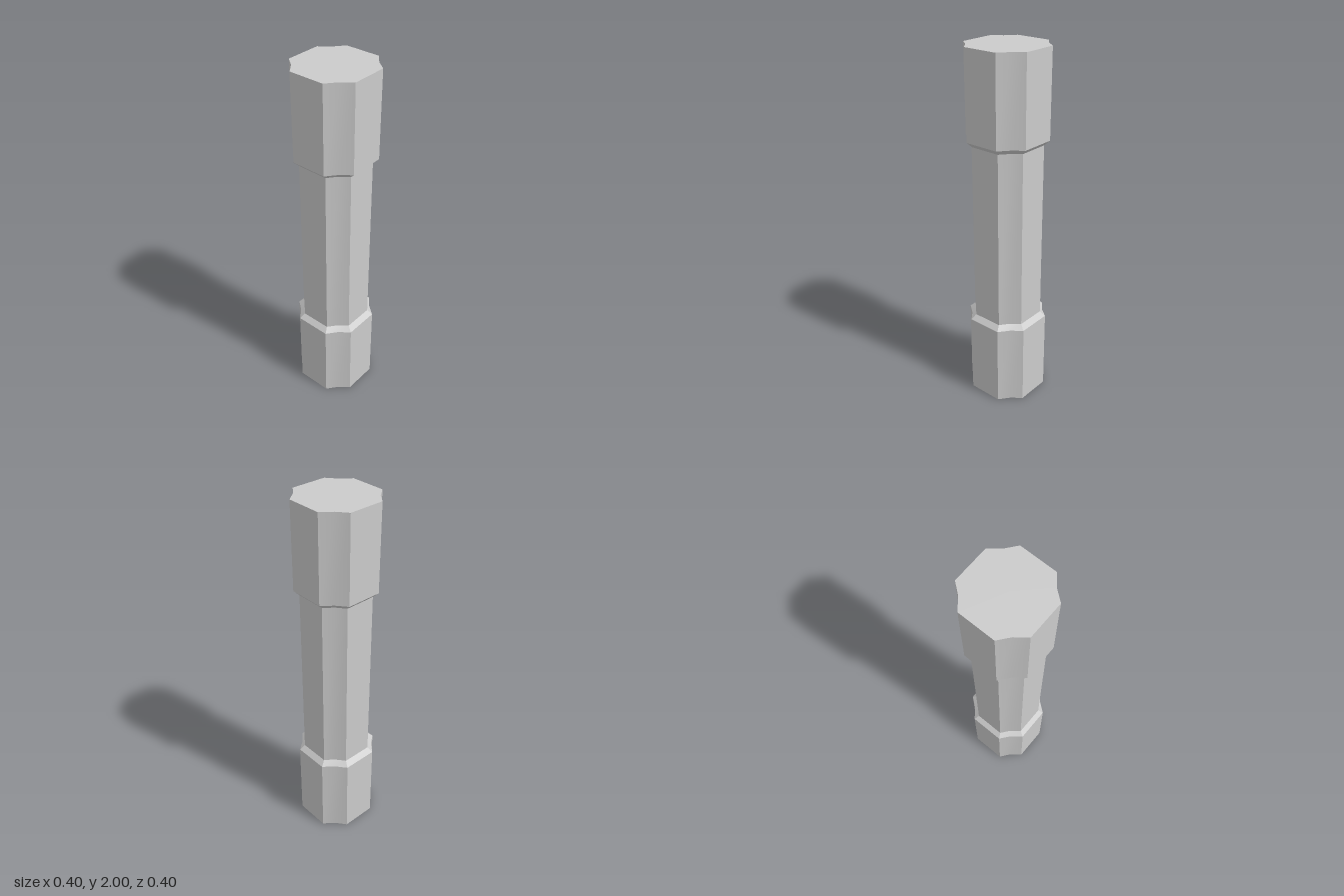
import * as THREE from 'three';
import { toCreasedNormals } from 'three/addons/utils/BufferGeometryUtils.js';

// One notched corner of the cross-section [x, z]; four quarter turns give the outline
const CORNER = [[0.2, 0.098], [0.143, 0.143], [0.098, 0.2]];
const OUTLINE = [];
for (let q = 0; q < 4; q++) {
  for (let [x, z] of CORNER) {
    for (let i = 0; i < q; i++) [x, z] = [-z, x];
    OUTLINE.push([x, z]);
  }
}

// Loft the outline through [y, scale] levels, closing the ends on request
function loft(levels, { bottom = false, top = false } = {}) {
  const n = OUTLINE.length;
  const pos = [];
  const idx = [];
  for (const [y, s] of levels) for (const [x, z] of OUTLINE) pos.push(x * s, y, z * s);
  for (let r = 0; r < levels.length - 1; r++) {
    for (let i = 0; i < n; i++) {
      const a = r * n + i, b = r * n + (i + 1) % n;
      idx.push(a, a + n, b, b, a + n, b + n);
    }
  }
  const cap = (row, up) => {
    const c = pos.length / 3;
    pos.push(0, levels[row][0], 0);
    for (let i = 0; i < n; i++) {
      const a = row * n + i, b = row * n + (i + 1) % n;
      if (up) idx.push(c, b, a);
      else idx.push(c, a, b);
    }
  };
  if (bottom) cap(0, false);
  if (top) cap(levels.length - 1, true);
  const g = new THREE.BufferGeometry();
  g.setAttribute('position', new THREE.Float32BufferAttribute(pos, 3));
  g.setIndex(idx);
  return toCreasedNormals(g, 0.5);
}

export function createModel() {
  const group = new THREE.Group();
  group.name = 'column';
  const material = new THREE.MeshStandardMaterial({ color: 0xcccccc });
  const add = (name, geometry) => {
    const mesh = new THREE.Mesh(geometry, material);
    mesh.name = name;
    group.add(mesh);
  };
  const slim = 0.865; // shaft width relative to the end blocks

  // Thick end blocks, each chamfered in to the shaft
  add('base', loft([[0, 1], [0.473, 1], [0.5, slim]], { bottom: true }));
  add('shaft', loft([[0.5, slim], [1.5, slim]]));
  add('capital', loft([[1.5, slim], [1.527, 1], [2, 1]], { top: true }));
  return group;
}
